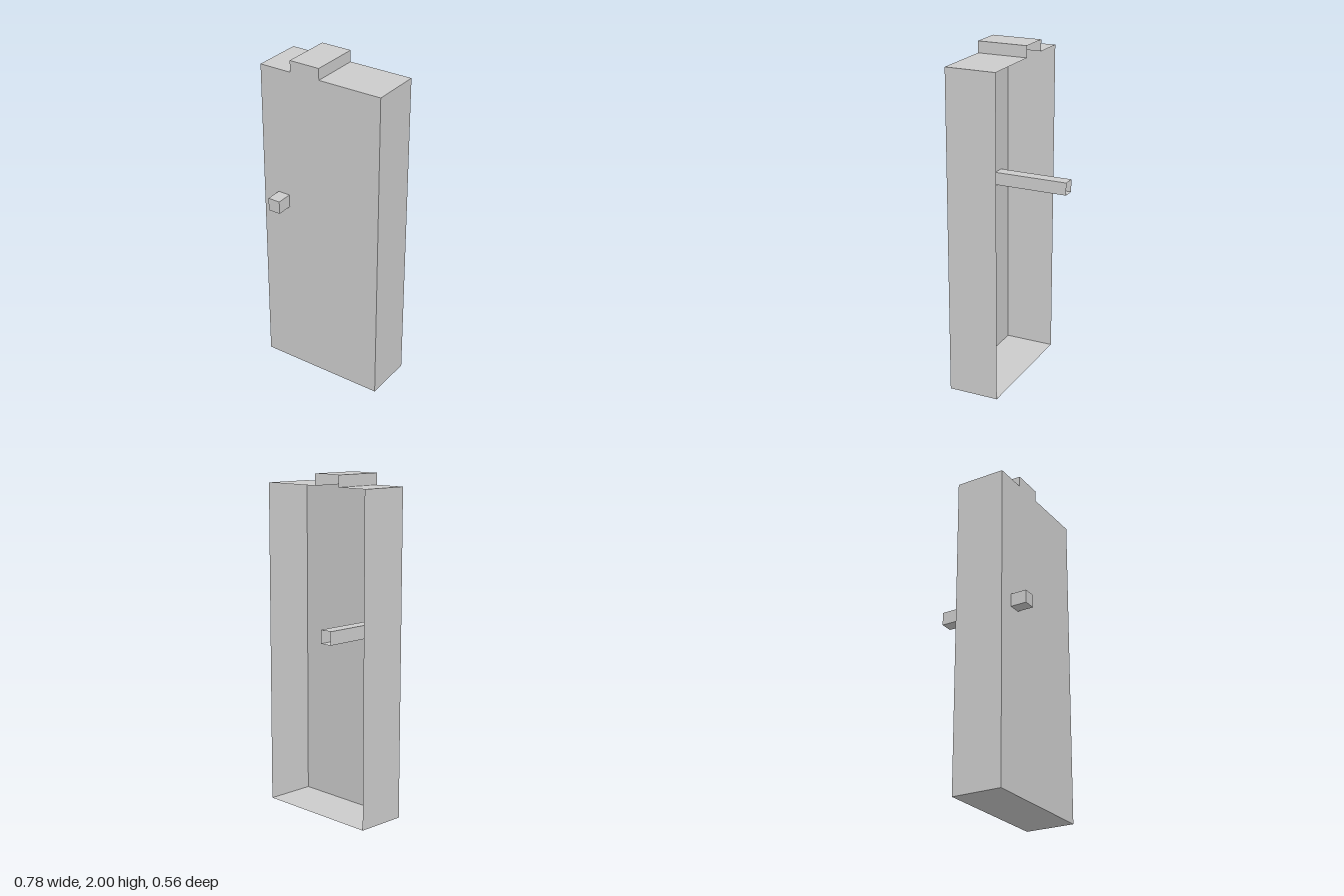
import * as THREE from 'three';

const material = new THREE.MeshStandardMaterial({
  color: 0xcccccc, flatShading: true, side: THREE.DoubleSide,
});

// Thin shell: a flat front of the given outline (counter-clockwise) with walls
// running back from every edge, left open at the rear.
function openShell(name, outline, zBack, zFront) {
  const group = new THREE.Group();
  group.name = name;

  const shape = new THREE.Shape(outline.map(([x, y]) => new THREE.Vector2(x, y)));
  const front = new THREE.Mesh(new THREE.ShapeGeometry(shape), material);
  front.position.z = zFront;
  front.name = name + 'Front';

  const positions = [];
  outline.forEach(([ax, ay], i) => {
    const [bx, by] = outline[(i + 1) % outline.length];
    positions.push(
      ax, ay, zBack, bx, by, zBack, bx, by, zFront,
      ax, ay, zBack, bx, by, zFront, ax, ay, zFront,
    );
  });
  const geometry = new THREE.BufferGeometry();
  geometry.setAttribute('position', new THREE.Float32BufferAttribute(positions, 3));
  geometry.computeVertexNormals();
  const walls = new THREE.Mesh(geometry, material);
  walls.name = name + 'Walls';

  group.add(front, walls);
  return group;
}

export function createModel() {
  const model = new THREE.Group();
  model.name = 'panelWithBar';

  // Tall tray with a raised tab on its top edge
  model.add(openShell('panel', [
    [-0.39, 0], [0.39, 0], [0.39, 1.932], [0, 1.932],
    [0, 2], [-0.19, 2], [-0.19, 1.932], [-0.39, 1.932],
  ], -0.121, 0.182));

  // Square hollow bar passing through the front
  model.add(openShell('bar', [
    [-0.29, 1.085], [-0.214, 1.085], [-0.214, 1.163], [-0.29, 1.163],
  ], -0.28, 0.28));

  return model;
}
